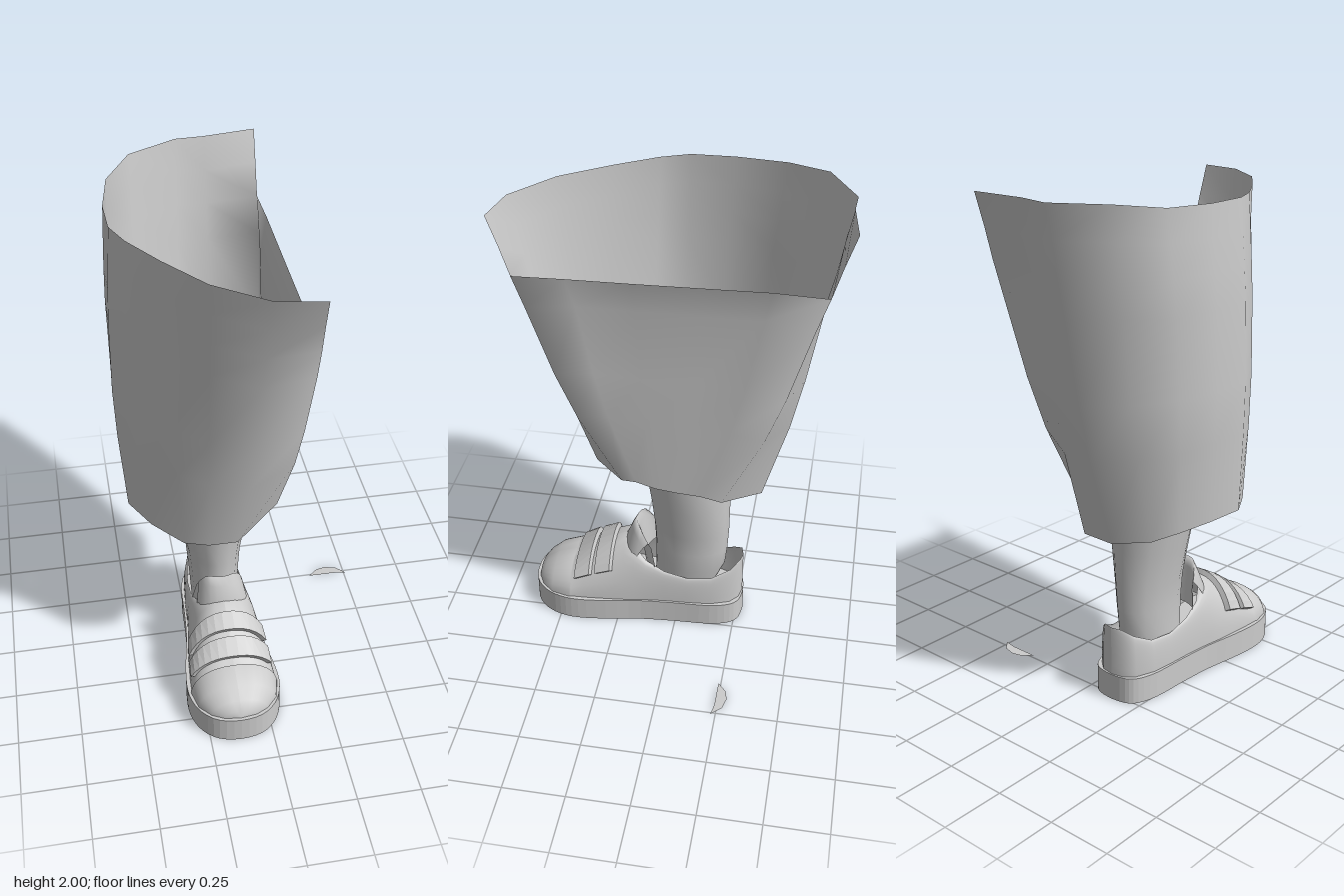
import * as THREE from 'three';

const CX = -0.128; // shoe centre line
const lerp = THREE.MathUtils.lerp;

function mesh(name, geo, flat = false) {
  const m = new THREE.Mesh(geo, new THREE.MeshStandardMaterial({
    color: 0xcccccc, side: THREE.DoubleSide, flatShading: flat }));
  m.name = name;
  return m;
}

// Joins rows of points into a surface; skip(row, col) leaves a quad out
function loft(rows, closed = false, skip = () => false) {
  const n = rows[0].length, idx = [];
  for (let r = 0; r < rows.length - 1; r++) {
    for (let c = 0; c < (closed ? n : n - 1); c++) {
      if (skip(r, c)) continue;
      const d = (c + 1) % n, a = r * n;
      idx.push(a + c, a + d, a + n + c, a + d, a + n + d, a + n + c);
    }
  }
  const g = new THREE.BufferGeometry();
  g.setAttribute('position', new THREE.Float32BufferAttribute(rows.flat(2), 3));
  g.setIndex(idx);
  g.computeVertexNormals();
  return g;
}

// Trouser leg: hem x, z, y and waist x, z, y of each column.
// Columns 0-11 run round the outside, 12-15 form the inner panel.
const COLUMNS = [
  [0.09, 0.20, 0.82, 0.15, 0.64, 1.965], [-0.09, 0.34, 0.77, -0.02, 0.61, 1.965],
  [-0.20, 0.34, 0.77, -0.20, 0.47, 1.965], [-0.29, 0.31, 0.77, -0.33, 0.29, 1.965],
  [-0.40, 0.19, 0.78, -0.43, 0.13, 1.965], [-0.475, 0.06, 0.79, -0.475, 0.02, 1.965],
  [-0.45, -0.08, 0.78, -0.48, -0.15, 1.965], [-0.40, -0.20, 0.76, -0.45, -0.35, 1.97],
  [-0.33, -0.28, 0.73, -0.35, -0.51, 1.99], [-0.20, -0.35, 0.71, -0.16, -0.62, 1.99],
  [-0.06, -0.345, 0.71, -0.05, -0.615, 1.995], [0.09, -0.20, 0.76, 0.15, -0.64, 2.0],
  [0.105, -0.12, 0.79, 0.125, -0.42, 2.0], [0.11, -0.03, 0.80, 0.125, -0.15, 1.99],
  [0.11, 0.06, 0.81, 0.125, 0.15, 1.98], [0.105, 0.14, 0.83, 0.125, 0.42, 1.97]];
const LEVELS = [[0, 0], [0.27, 0.36], [0.44, 0.53], [0.69, 0.73], [0.8, 0.83], [0.9, 0.91], [1, 1]];

function trouserLeg() {
  const rows = LEVELS.map(([s, f]) => COLUMNS.map(([hx, hz, hy, tx, tz, ty], i) => {
    const corner = i === 0 || i === 11;
    let x = lerp(hx, tx, corner ? Math.min(1, f * 1.35) : f);
    if (tx < -0.42) x -= 0.03 * Math.sin(Math.PI * s);
    if (i > 11 && s === 0.8) x = 0.15; // crotch seam flares out
    return [x, lerp(hy, ty, s), lerp(hz, tz, f)];
  }));
  // the inner panel stops at the crotch seam
  return loft(rows, true, (r, c) => r >= 4 && c >= 11);
}

function hemLip() {
  const outer = COLUMNS.map(([x, z, y]) => [x, y, z]);
  const inset = k => outer.map(([x, y, z]) => [-0.17 + (x + 0.17) * 0.88, y + k, z * 0.9]);
  return loft([outer, inset(0.005), inset(0.04)], true);
}

// Bare lower leg: y, centre x, centre z, radius x, radius z
const LEG = [
  [0.11, -0.14, -0.015, 0.085, 0.125], [0.25, -0.13, -0.045, 0.1, 0.15],
  [0.35, -0.13, -0.05, 0.105, 0.155], [0.45, -0.13, -0.05, 0.113, 0.16],
  [0.6, -0.132, -0.043, 0.14, 0.168], [0.8, -0.14, -0.027, 0.17, 0.183],
  [1.0, -0.153, -0.01, 0.19, 0.2], [1.0, -0.153, -0.01, 0.178, 0.188]];

function lowerLeg() {
  return loft(LEG.map(([y, cx, cz, rx, rz]) => Array.from({ length: 16 }, (_, i) => {
    const a = i / 16 * Math.PI * 2;
    return [cx + rx * Math.sin(a), y, cz + rz * Math.cos(a)];
  })), true);
}

// Shoe upper stations: z, half width, top height, half width of the opening
const UPPER = [
  [-0.275, 0, 0.31, 0], [-0.265, 0.05, 0.31, 0.04], [-0.23, 0.09, 0.28, 0.075],
  [-0.15, 0.118, 0.24, 0.1], [-0.05, 0.127, 0.235, 0.112], [0.05, 0.132, 0.26, 0.112],
  [0.13, 0.14, 0.3, 0.1], [0.18, 0.147, 0.34, 0.07], [0.23, 0.155, 0.365, 0],
  [0.3, 0.162, 0.33, 0], [0.4, 0.17, 0.27, 0], [0.455, 0.172, 0.223, 0],
  [0.46, 0.176, 0.235, 0], [0.54, 0.157, 0.205, 0], [0.59, 0.113, 0.17, 0],
  [0.615, 0.065, 0.14, 0], [0.624, 0, 0.105, 0]];

function upperPoint([z, w, h, t], a) {
  const c = Math.max(0, Math.cos(a));
  return [t + (w - t) * Math.pow(c, 0.85), 0.1 + (h - 0.1) * Math.sin(a), z];
}

function upperSide(side) {
  return loft(UPPER.map(s => Array.from({ length: 9 }, (_, i) => {
    const [x, y, z] = upperPoint(s, i / 8 * Math.PI / 2);
    return [CX + side * x, y, z];
  })));
}

function stationAt(z) {
  const i = UPPER.findIndex(s => s[0] >= z), a = UPPER[i - 1], b = UPPER[i];
  return a.map((v, k) => lerp(v, b[k], (z - a[0]) / (b[0] - a[0])));
}

// Strap: a thick band laid across the top of the shoe
function strap(z0, z1) {
  const rows = [];
  for (let i = 0; i <= 12; i++) {
    const a = lerp(0.65, 2.65, i / 12), left = a < Math.PI / 2;
    rows.push([[z0, -0.01], [z0, 0.02], [z1, 0.02], [z1, -0.01]].map(([z, lift]) => {
      const [x, y] = upperPoint(stationAt(z), left ? a : Math.PI - a);
      return [CX + (left ? x : -x) + lift * Math.cos(a), y + lift * Math.sin(a), z + lift * 0.5];
    }));
  }
  const middle = r => [0, 1, 2].map(k => (r[0][k] + r[2][k]) / 2);
  const cap = r => Array(4).fill(middle(r));
  return loft([cap(rows[0]), ...rows, cap(rows[12])], true);
}

// Tongue: a curved flap rising in front of the ankle
function tongue() {
  return loft([[0, 0.24], [0.4, 0.235], [0.8, 0.205], [1, 0.185], [0.8, 0.17], [0, 0.15]].map(([k, z]) =>
    Array.from({ length: 11 }, (_, i) => {
      const a = lerp(-1.3, 1.3, i / 10), c = Math.cos(a);
      const top = 0.35 + 0.11 * Math.min(1, c * 1.25);
      return [CX + (0.118 - 0.025 * k) * Math.sin(a), lerp(0.27, top, k), z - 0.085 * (1 - c)];
    })));
}

// Sole: half outline mirrored, then extruded upwards
function sole() {
  const half = [[0, -0.28], [0.065, -0.27], [0.105, -0.235], [0.13, -0.15], [0.138, 0], [0.15, 0.15],
    [0.175, 0.3], [0.187, 0.42], [0.178, 0.5], [0.145, 0.57], [0.085, 0.62], [0, 0.636]];
  const mirrored = half.slice(1, -1).reverse().map(([x, z]) => [-x, z]);
  const pts = [...half, ...mirrored].map(([x, z]) => new THREE.Vector2(CX + x, -z));
  const curve = new THREE.SplineCurve([...pts, pts[0]]);
  const g = new THREE.ExtrudeGeometry(new THREE.Shape(curve.getPoints(66).slice(0, -1)),
    { depth: 0.108, bevelEnabled: false });
  return g.rotateX(-Math.PI / 2);
}

export function createModel() {
  const model = new THREE.Group();
  model.name = 'clothedLeg';
  model.add(mesh('trouserLeg', trouserLeg()), mesh('trouserHem', hemLip()), mesh('lowerLeg', lowerLeg()));

  const shoe = new THREE.Group();
  shoe.name = 'shoe';
  shoe.add(mesh('sole', sole()), mesh('upperLeft', upperSide(1)), mesh('upperRight', upperSide(-1)),
    mesh('tongue', tongue()), mesh('frontStrap', strap(0.365, 0.43), true),
    mesh('rearStrap', strap(0.275, 0.34), true));
  model.add(shoe);

  // Small loose sliver lying on the ground
  const outline = [[0.34, 0.24], [0.38, 0.275], [0.42, 0.285], [0.47, 0.273], [0.51, 0.23], [0.46, 0.24]];
  const sliver = new THREE.ShapeGeometry(new THREE.Shape(outline.map(p => new THREE.Vector2(...p))));
  model.add(mesh('groundSliver', sliver.rotateX(-Math.PI / 2).translate(0, 0.003, 0)));
  return model;
}
